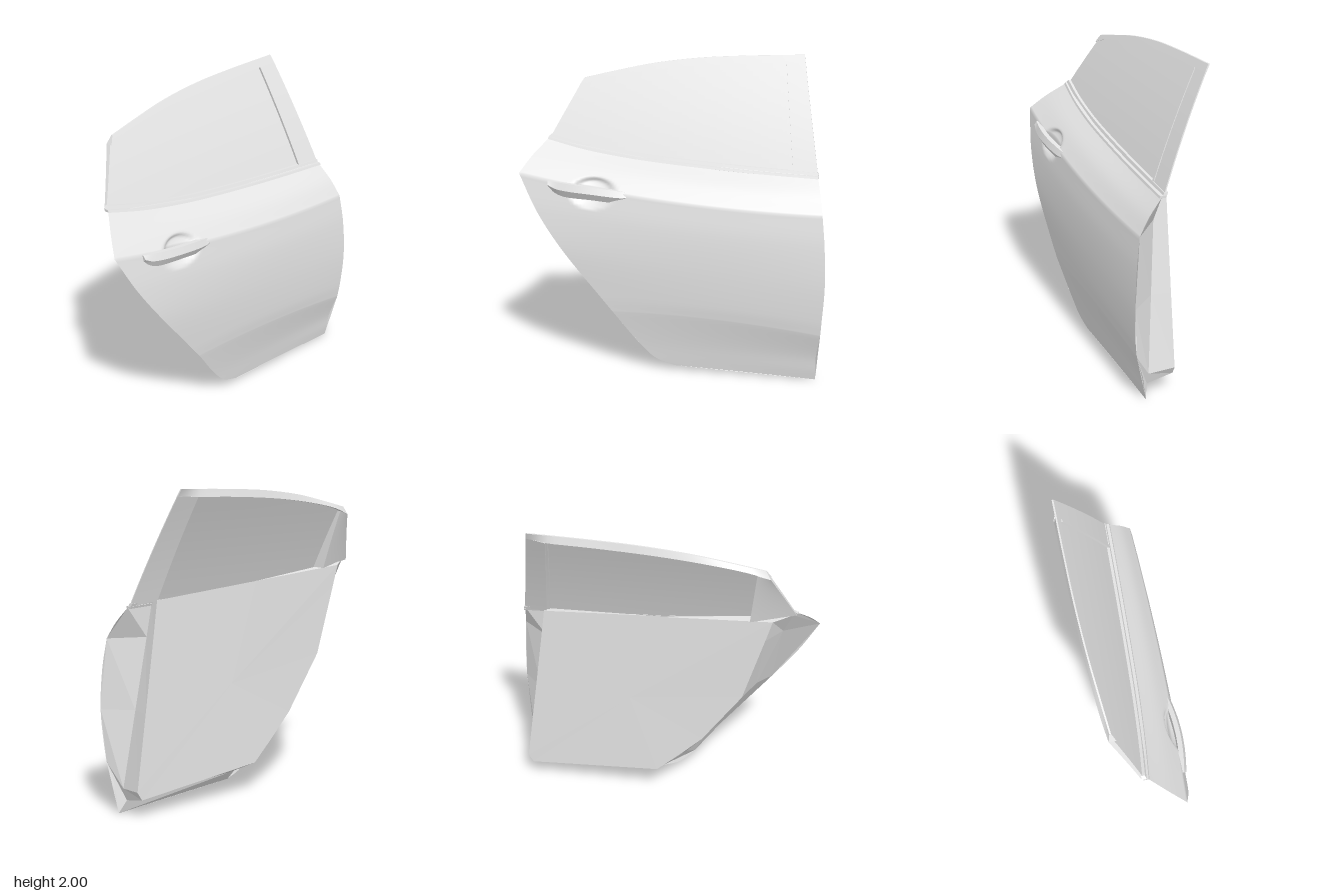
import * as THREE from 'three';
import { toCreasedNormals } from 'three/addons/utils/BufferGeometryUtils.js';

const paint = new THREE.MeshStandardMaterial({ color: 0xe4e4e4, side: THREE.DoubleSide });
paint.name = 'light grey paint';

const curve = (pts) => new THREE.CatmullRomCurve3(pts.map(([x, y, z = 0]) => new THREE.Vector3(x, y, z)));

// Outer skin rows, bottom to belt line: rear edge, middle, front edge
const rows = [
  [[0.02, 0.03, 0.188], [0.47, 0.015, 0.18], [0.925, 0, 0.175]],
  [[-0.1, 0.075, 0.197], [0.4, 0.07, 0.19], [0.932, 0.06, 0.187]],
  [[-0.2, 0.17, 0.212], [0.36, 0.18, 0.209], [0.94, 0.16, 0.203]],
  [[-0.37, 0.39, 0.25], [0.28, 0.385, 0.257], [0.955, 0.32, 0.25]],
  [[-0.45, 0.49, 0.258], [0.25, 0.47, 0.268], [0.962, 0.42, 0.262]],
  [[-0.7, 0.8, 0.268], [0.12, 0.73, 0.28], [0.975, 0.65, 0.272]],
  [[-0.86, 1.03, 0.245], [0.05, 0.95, 0.272], [0.965, 0.9, 0.26]],
  [[-0.985, 1.265, 0.2], [-0.03, 1.14, 0.245], [0.945, 1.09, 0.235]],
  [[-0.925, 1.36, 0.1], [-0.02, 1.24, 0.16], [0.925, 1.19, 0.17]],
  [[-0.85, 1.45, -0.01], [0, 1.33, 0.05], [0.9, 1.29, 0.08]],
];

// Skin surface in three bands that meet at body creases, with a scooped pocket behind the handle
function skinGeometry(nu = 90) {
  const bands = [[0, 3, 20], [3, 7, 44], [7, 9, 24]];
  const lines = [];
  bands.forEach(([from, to, steps], k) => {
    const columns = [0, 1, 2].map((c) => curve(rows.slice(from, to + 1).map((r) => r[c])));
    for (let s = k ? 1 : 0; s <= steps; s++) lines.push(columns.map((c) => c.getPoint(s / steps)));
  });
  const pos = [], index = [];
  lines.forEach(([l, m, r], j) => {
    for (let i = 0; i <= nu; i++) {
      const u = i / nu;
      const p = new THREE.Vector3()
        .addScaledVector(l, (1 - u) * (1 - 2 * u))
        .addScaledVector(m, 4 * u * (1 - u))
        .addScaledVector(r, u * (2 * u - 1));
      const d = Math.max(0, 1 - ((p.x + 0.5) / 0.16) ** 2 - ((p.y - 1.165) / 0.095) ** 2);
      pos.push(p.x, p.y, p.z - 0.045 * Math.sqrt(d) * Math.min(1, d * 2));
      if (i < nu && j < lines.length - 1) {
        const a = j * (nu + 1) + i, b = a + nu + 1;
        index.push(a, a + 1, b + 1, a, b + 1, b);
      }
    }
  });
  const g = new THREE.BufferGeometry();
  g.setAttribute('position', new THREE.Float32BufferAttribute(pos, 3));
  g.setIndex(index);
  g.computeVertexNormals();
  return g;
}

// Faceted inner shell: skin edge, return lip, then the trim panel that deepens toward the rear
function innerGeometry() {
  const keys = [[9, 2], [7, 2], [5, 2], [3, 2], [0, 2], [0, 0], [2, 0], [3, 0], [5, 0], [7, 0], [9, 0], [9, 1]];
  const edge = keys.map(([r, c]) => rows[r][c]);
  const lip = [[0.74, 1.32, 0.05], [0.77, 1.1, 0.069], [0.835, 0.65, 0.108], [0.905, 0.16, 0.15], [0.88, 0.08, 0.15], [0.05, 0.09, 0.14],
    [-0.15, 0.21, 0.14], [-0.31, 0.43, 0.12], [-0.61, 0.86, 0.07], [-0.76, 1.28, 0.05], [-0.82, 1.44, -0.025], [0, 1.335, 0.02]];
  const panel = [[0.752, 1.33, -0.015], [0.785, 1.1, -0.015], [0.851, 0.65, -0.015], [0.922, 0.175, -0.015], [0.89, 0.12, -0.017], [0.02, 0.2, -0.08],
    [-0.13, 0.34, -0.083], [-0.28, 0.49, -0.086], [-0.53, 0.85, -0.097], [-0.66, 1.29, -0.108], [-0.7, 1.43, -0.112], [0, 1.382, -0.067]];
  const rings = [edge, lip, panel], n = keys.length, pos = [];
  const tri = (...p) => p.forEach((q) => pos.push(...q));
  for (let k = 0; k < 2; k++) {
    for (let i = 0; i < n; i++) {
      const j = (i + 1) % n;
      const a = rings[k][i], b = rings[k][j], c = rings[k + 1][j], d = rings[k + 1][i];
      tri(a, b, c);
      tri(a, c, d);
    }
  }
  for (let i = 0; i < n; i++) tri([0.2, 0.75, -0.06], panel[i], panel[(i + 1) % n]);
  const g = new THREE.BufferGeometry();
  g.setAttribute('position', new THREE.Float32BufferAttribute(pos, 3));
  g.computeVertexNormals();
  return g;
}

// Inward lean of everything above the belt line
function leanZ(x, y) {
  const t = (y - 1.29) / 0.71;
  return 0.07 - 0.28 * t - 0.05 * t * t - 0.015 * (0.9 - x);
}

// Solid strip between a lower and an upper curve; front and back give offsets from a depth rule
function slab(lower, upper, front, back, depth = leanZ, nu = 32, nv = 8) {
  const lo = curve(lower), up = curve(upper);
  const g = new THREE.BoxGeometry(1, 1, 1, nu, nv, 1), p = g.attributes.position;
  for (let i = 0; i < p.count; i++) {
    const u = p.getX(i) + 0.5, v = p.getY(i) + 0.5;
    const q = lo.getPointAt(u).lerp(up.getPointAt(u), v);
    const offset = p.getZ(i) > 0 ? front : back;
    p.setXYZ(i, q.x, q.y, depth(q.x, q.y) + (typeof offset === 'function' ? offset(u, v) : offset));
  }
  return toCreasedNormals(g, 0.5);
}

export function createModel() {
  const door = new THREE.Group();
  door.name = 'carDoor';
  const add = (name, geometry) => {
    const mesh = new THREE.Mesh(geometry, paint);
    mesh.name = name;
    door.add(mesh);
  };

  add('outerSkin', skinGeometry());
  add('innerPanel', innerGeometry());

  // Window and its frame, whose backs taper to a thin outer edge
  const belt = [[-0.85, 1.45], [-0.6, 1.398], [-0.3, 1.358], [0, 1.332], [0.45, 1.305], [0.9, 1.288]];
  const sill = [[-0.83, 1.48], [-0.6, 1.432], [-0.3, 1.39], [0, 1.364], [0.4, 1.34], [0.74, 1.325]];
  const windowTop = [[-0.68, 1.775], [-0.55, 1.82], [-0.3, 1.87], [0, 1.91], [0.35, 1.937], [0.65, 1.95]];
  add('windowGlass', slab(sill, windowTop, -0.012, -0.02));
  add('topRail', slab([...windowTop, [0.774, 1.955]],
    [[-0.65, 1.825], [-0.45, 1.872], [-0.2, 1.925], [0.1, 1.965], [0.4, 1.985], [0.765, 2]],
    0, (u, v) => -0.01 - 0.035 * (1 - v) * Math.min(1, 10 * (1 - u))));
  add('frontPillar', slab([[0.74, 1.325], [0.898, 1.295]], [[0.65, 1.95], [0.774, 1.957]],
    0, (u, v) => -0.008 - (0.05 - 0.012 * v) * (1 - u)));
  add('windowChannel', slab([[0.722, 1.327], [0.742, 1.325]], [[0.638, 1.948], [0.655, 1.95]], 0.005, -0.035, leanZ, 1));
  add('rearPillar', slab([[-0.84, 1.46], [-0.56, 1.42]], [[-0.68, 1.775], [-0.6, 1.8]],
    -0.019, (u, v) => -0.03 - 0.08 * u * (1 - v) - 0.015 * v));

  // Two-step belt moulding
  const raise = (pts, dy) => pts.map(([x, y]) => [x, y + dy]);
  add('beltMoulding', slab(raise(belt, -0.002), raise(belt, 0.012), (u) => 0.015 + 0.007 * Math.min(1, 3 * u), -0.02, leanZ, 32, 1));
  add('beltSeal', slab(raise(belt, 0.014), [...sill, [0.897, 1.318]], 0.005, -0.02, leanZ, 32, 1));

  // Bowed pull handle, rounded at the top and chamfered underneath
  const bow = (x) => 0.238 + 0.032 * (1 - ((x + 0.525) / 0.27) ** 2);
  add('handle', slab(
    [[-0.785, 1.185], [-0.74, 1.145], [-0.5, 1.122], [-0.3, 1.11], [-0.265, 1.13]],
    [[-0.79, 1.23], [-0.6, 1.215], [-0.4, 1.195], [-0.255, 1.175]],
    (u, v) => (v < 0.5 ? -0.024 * (1 - 2 * v) : -0.016 * (2 * v - 1)), -0.045, bow, 28, 4));
  return door;
}
